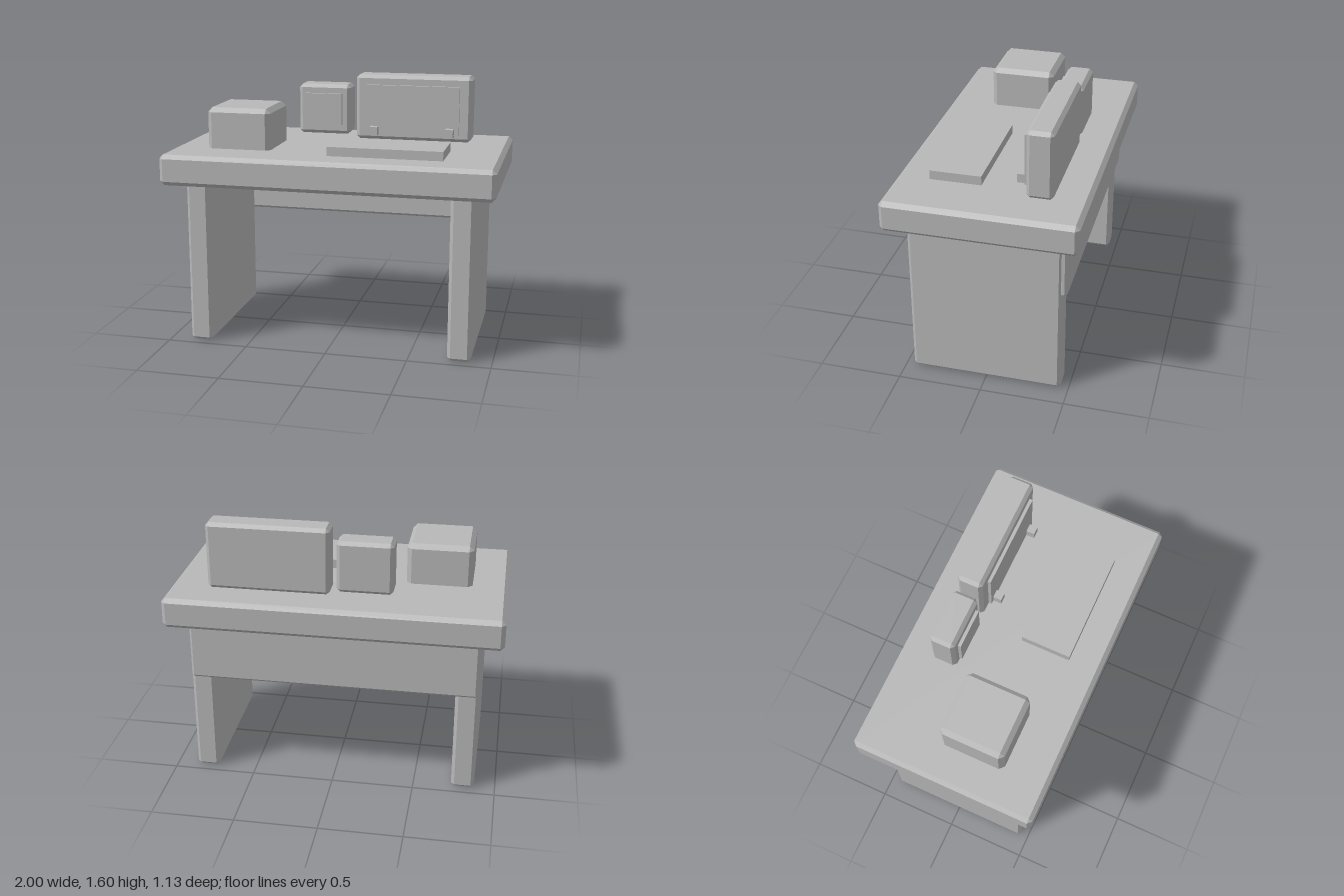
import * as THREE from 'three';
import { ConvexGeometry } from 'three/addons/geometries/ConvexGeometry.js';

const grey = new THREE.MeshStandardMaterial({ color: 0xb8b8b8 });
grey.name = 'plain grey';

// Box with every edge cut at 45 degrees by c
function chamferedBox(w, h, d, c) {
  const points = [];
  for (const x of [-1, 1]) for (const y of [-1, 1]) for (const z of [-1, 1]) {
    for (let axis = 0; axis < 3; axis++) {
      const p = [w / 2 - c, h / 2 - c, d / 2 - c];
      p[axis] += c;
      points.push(new THREE.Vector3(x * p[0], y * p[1], z * p[2]));
    }
  }
  return new ConvexGeometry(points);
}

// Block between two limits on each axis, chamfered when c > 0
function block(name, [x0, x1], [y0, y1], [z0, z1], c = 0) {
  const size = [x1 - x0, y1 - y0, z1 - z0];
  const geometry = c > 0 ? chamferedBox(...size, c) : new THREE.BoxGeometry(...size);
  const mesh = new THREE.Mesh(geometry, grey);
  mesh.name = name;
  mesh.position.set((x0 + x1) / 2, (y0 + y1) / 2, (z0 + z1) / 2);
  return mesh;
}

export function createModel() {
  const model = new THREE.Group();
  model.name = 'desk';

  // Desk: top, two side panels and the back panel
  model.add(block('deskTop', [-1, 1], [1.003, 1.19], [-0.565, 0.565], 0.025));
  model.add(block('rightLeg', [-0.873, -0.732], [0, 1.04], [-0.453, 0.453], 0.02));
  model.add(block('leftLeg', [0.732, 0.873], [0, 1.04], [-0.453, 0.453], 0.02));
  model.add(block('backPanel', [-0.865, 0.865], [0.645, 1.03], [-0.479, -0.433], 0.015));

  // Storage box on the desk
  model.add(block('storageBox', [-0.785, -0.39], [1.05, 1.44], [-0.102, 0.294], 0.028));

  // Large monitor with its screen and two knobs
  const monitor = new THREE.Group();
  monitor.name = 'monitor';
  monitor.add(block('monitorCase', [0.032, 0.765], [1.194, 1.603], [-0.37, -0.214], 0.021));
  monitor.add(block('monitorScreen', [0.106, 0.69], [1.238, 1.543], [-0.21, -0.191]));
  for (const x of [0.157, 0.635]) {
    monitor.add(block('knob', [x - 0.025, x + 0.025], [1.231, 1.284], [-0.195, -0.14]));
  }
  model.add(monitor);

  // Small side display
  const display = new THREE.Group();
  display.name = 'smallDisplay';
  display.add(block('displayCase', [-0.342, -0.008], [1.218, 1.534], [-0.37, -0.214], 0.021));
  display.add(block('displayScreen', [-0.297, -0.058], [1.279, 1.478], [-0.21, -0.191]));
  model.add(display);

  // Keyboard
  model.add(block('keyboard', [-0.016, 0.674], [1.18, 1.245], [0.063, 0.368]));

  return model;
}
